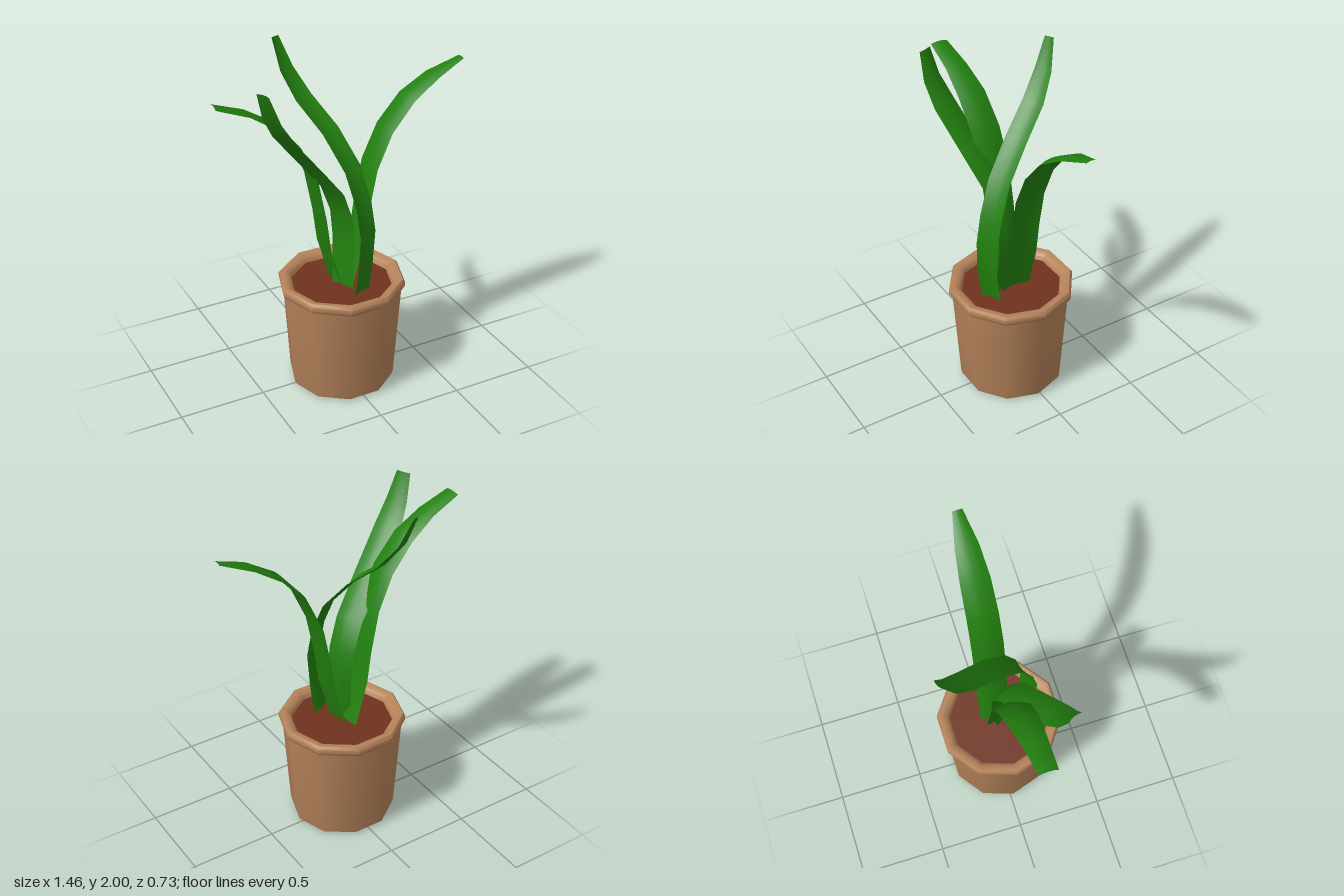
import * as THREE from 'three';
import { toCreasedNormals } from 'three/addons/utils/BufferGeometryUtils.js';

const POT_Z = 0.018;

function lathe(name, profile, material) {
  const points = profile.map(([r, y]) => new THREE.Vector2(r, y));
  const geometry = new THREE.LatheGeometry(points, 10, Math.PI / 2);
  const mesh = new THREE.Mesh(toCreasedNormals(geometry, 0.72), material);
  mesh.name = name;
  mesh.position.z = POT_Z;
  return mesh;
}

// Ribbon leaf: path points [x, y, z, width], with a shallow channel down the middle.
function leaf(name, path, side, material) {
  const across = new THREE.Vector3(...side).normalize();
  const centres = path.map(([x, y, z]) => new THREE.Vector3(x, y, z));
  const positions = [];
  const indices = [];
  path.forEach((row, i) => {
    const width = row[3];
    const before = centres[Math.max(i - 1, 0)];
    const after = centres[Math.min(i + 1, centres.length - 1)];
    const tangent = after.clone().sub(before).normalize();
    const normal = new THREE.Vector3().crossVectors(across, tangent).normalize();
    for (const t of [-1, -0.5, 0, 0.5, 1]) {
      const p = centres[i].clone()
        .addScaledVector(across, t * width / 2)
        .addScaledVector(normal, (t * t - 0.5) * width * 0.1);
      positions.push(p.x, p.y, p.z);
    }
    if (i === 0) return;
    for (let j = 0; j < 4; j++) {
      const a = (i - 1) * 5 + j;
      indices.push(a, a + 1, a + 6, a, a + 6, a + 5);
    }
  });
  const geometry = new THREE.BufferGeometry();
  geometry.setAttribute('position', new THREE.Float32BufferAttribute(positions, 3));
  geometry.setIndex(indices);
  geometry.computeVertexNormals();
  const mesh = new THREE.Mesh(geometry, material);
  mesh.name = name;
  return mesh;
}

export function createModel() {
  const group = new THREE.Group();
  group.name = 'pottedPlant';
  const clay = new THREE.MeshStandardMaterial({ color: 0xb5835a });
  const earth = new THREE.MeshStandardMaterial({ color: 0x6f321e });
  const green = new THREE.MeshStandardMaterial({ color: 0x22800f, side: THREE.DoubleSide });

  // Ten-sided pot with a rolled rim
  group.add(lathe('pot', [
    [0, 0], [0.28, 0], [0.298, 0.01], [0.305, 0.035], [0.342, 0.605],
    [0.353, 0.607], [0.362, 0.625], [0.362, 0.648], [0.35, 0.664],
    [0.325, 0.664], [0.297, 0.645], [0.285, 0.61],
  ], clay));
  group.add(lathe('soil', [[0.29, 0.62], [0, 0.62]], earth));

  // Two arching side leaves, nearly mirrored
  const arch = [
    [0.02, 0.62, 0.18], [0.095, 0.88, 0.18], [0.122, 1.08, 0.18], [0.17, 1.32, 0.18],
    [0.26, 1.52, 0.175], [0.395, 1.68, 0.165], [0.55, 1.78, 0.13], [0.73, 1.85, 0.055],
  ];
  group.add(leaf('leftLeaf',
    arch.map(([x, y, w]) => [x, y, 0.005 + x * 0.025, w]), [0, 0, -1], green));
  group.add(leaf('rightLeaf',
    arch.map(([x, y, w], i) => [-x, y, 0.005 + x * 0.035, i === 7 ? 0.1 : w]), [0, 0, 1], green));

  // Leaf leaning forward and to the right
  group.add(leaf('frontLeaf', [
    [-0.01, 0.62, 0.06, 0.15], [0.01, 0.9, 0.035, 0.16], [-0.005, 1.07, 0.035, 0.16],
    [-0.07, 1.24, 0.055, 0.165], [-0.22, 1.43, 0.11, 0.17], [-0.405, 1.66, 0.18, 0.165],
    [-0.485, 1.79, 0.21, 0.13], [-0.535, 1.94, 0.22, 0.085],
  ], [0.38, 0, 0.92], green));

  // Tall leaf rising at the front and bending to the back
  group.add(leaf('tallLeaf', [
    [0.045, 0.62, 0.172, 0.125], [0.05, 0.8, 0.2, 0.13], [0.06, 1.0, 0.205, 0.135],
    [0.05, 1.17, 0.172, 0.135], [0.02, 1.36, 0.1, 0.135], [-0.04, 1.54, -0.04, 0.135],
    [-0.12, 1.69, -0.2, 0.13], [-0.172, 1.83, -0.295, 0.105], [-0.207, 2.0, -0.355, 0.055],
  ], [0.9, 0, -0.43], green));

  return group;
}
